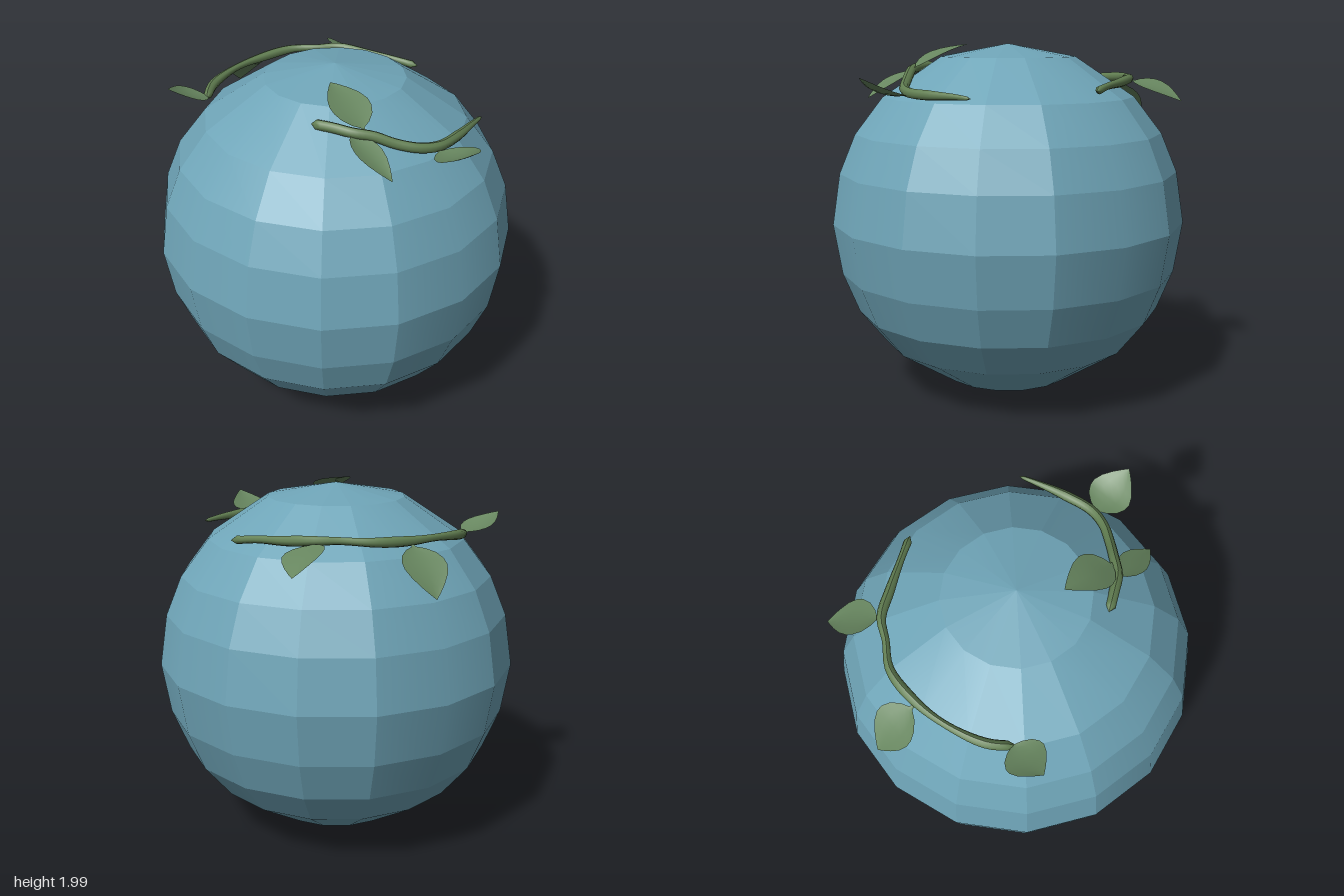
import * as THREE from 'three';

const blue = new THREE.MeshStandardMaterial({ color: 0x6fa5b8 });
blue.name = 'duskyBlue';
const leafGreen = new THREE.MeshStandardMaterial({ color: 0x67865f, side: THREE.DoubleSide });
leafGreen.name = 'leafGreen';
const stemGreen = new THREE.MeshStandardMaterial({ color: 0x627f52 });
stemGreen.name = 'stemGreen';

const V = (p) => new THREE.Vector3(...p);

// Faceted ball: rings of 16 sides, with the facets either side of each axis blended together
function makeBall() {
  const profile = [
    [0, 0.005], [0.37, 0.075], [0.71, 0.295], [0.865, 0.49], [0.955, 0.715], [1, 1],
    [0.955, 1.285], [0.865, 1.5], [0.71, 1.7], [0.38, 1.92], [0, 1.99],
  ].map(([x, y]) => new THREE.Vector2(x, y));
  const geo = new THREE.LatheGeometry(profile, 16).toNonIndexed();
  geo.computeVertexNormals();
  const pos = geo.attributes.position;
  const nor = geo.attributes.normal;
  const n = new THREE.Vector3();
  for (let i = 0; i < pos.count; i++) {
    n.fromBufferAttribute(nor, i);
    const x = Math.abs(pos.getX(i));
    const z = Math.abs(pos.getZ(i));
    if (x < 1e-4 && z > 0.1) n.x = 0;
    if (z < 1e-4 && x > 0.1) n.z = 0;
    n.normalize();
    nor.setXYZ(i, n.x, n.y, n.z);
  }
  const mesh = new THREE.Mesh(geo, blue);
  mesh.name = 'ball';
  return mesh;
}

// Vine stem: a tube whose rings are scaled along its length by radiusAt(t)
function makeStem(points, radiusAt) {
  const curve = new THREE.CatmullRomCurve3(points.map(V));
  const steps = 40;
  const sides = 8;
  const geo = new THREE.TubeGeometry(curve, steps, 1, sides, false);
  const pos = geo.attributes.position;
  const p = new THREE.Vector3();
  for (let i = 0; i <= steps; i++) {
    const c = curve.getPointAt(i / steps);
    const end = i === 0 || i === steps;
    const r = end ? 0.0005 : radiusAt(i / steps);
    for (let j = 0; j <= sides; j++) {
      const k = i * (sides + 1) + j;
      p.fromBufferAttribute(pos, k).sub(c).multiplyScalar(r).add(c);
      pos.setXYZ(k, p.x, p.y, p.z);
    }
  }
  geo.computeVertexNormals();
  const mesh = new THREE.Mesh(geo, stemGreen);
  mesh.name = 'stem';
  return mesh;
}

// Leaf: cross-sections from base to tip, cupped across and bent along its length
function makeLeaf({ base, tip, width, up = [0, 1, 0], arch = 0.01 }) {
  const a = V(base);
  const axis = V(tip).sub(a);
  const side = new THREE.Vector3().crossVectors(V(up), axis).normalize();
  const normal = new THREE.Vector3().crossVectors(axis, side).normalize();
  const outline = [
    [0, 0.05], [0.08, 0.1], [0.14, 0.45], [0.25, 0.8], [0.38, 0.98],
    [0.5, 1], [0.65, 0.84], [0.8, 0.54], [0.92, 0.24], [1, 0.01],
  ];
  const across = [-1, -0.5, 0, 0.5, 1];
  const verts = [];
  const index = [];
  outline.forEach(([t, w], i) => {
    across.forEach((s, j) => {
      const lift = arch * Math.sin(Math.PI * t) + 0.016 * w * (s * s - 0.4);
      const p = a.clone().addScaledVector(axis, t)
        .addScaledVector(side, s * w * width / 2)
        .addScaledVector(normal, lift);
      verts.push(p.x, p.y, p.z);
      if (i && j) {
        const d = i * across.length + j;
        const b = d - across.length;
        index.push(b - 1, b, d, b - 1, d, d - 1);
      }
    });
  });
  const geo = new THREE.BufferGeometry();
  geo.setAttribute('position', new THREE.Float32BufferAttribute(verts, 3));
  geo.setIndex(index);
  geo.computeVertexNormals();
  const mesh = new THREE.Mesh(geo, leafGreen);
  mesh.name = 'leaf';
  return mesh;
}

function makeVine(name, points, radiusAt, leaves) {
  const vine = new THREE.Group();
  vine.name = name;
  vine.add(makeStem(points, radiusAt), ...leaves.map(makeLeaf));
  return vine;
}

export function createModel() {
  const model = new THREE.Group();
  model.name = 'ballWithVines';
  model.add(makeBall());

  // Long vine around the back
  model.add(makeVine(
    'backVine',
    [[-0.47, 1.74, -0.53], [-0.36, 1.76, -0.62], [-0.16, 1.78, -0.685], [0.04, 1.785, -0.7],
      [0.24, 1.795, -0.665], [0.36, 1.8, -0.57], [0.46, 1.8, -0.5], [0.54, 1.785, -0.36],
      [0.62, 1.775, -0.2], [0.69, 1.755, -0.06]],
    (t) => 0.023 + 0.004 * Math.sin(t * 19),
    [
      { base: [0.03, 1.775, -0.71], tip: [0.07, 1.55, -0.97], width: 0.24, arch: 0.025 },
      { base: [0.46, 1.79, -0.5], tip: [0.7, 1.68, -0.67], width: 0.22, up: [0.2, 1, 0.1], arch: 0.02 },
      { base: [-0.44, 1.745, -0.54], tip: [-0.68, 1.845, -0.57], width: 0.22, arch: -0.01 },
    ],
  ));

  // Short vine on the front
  model.add(makeVine(
    'frontVine',
    [[-0.38, 1.86, 0.26], [-0.33, 1.86, 0.36], [-0.28, 1.85, 0.45], [-0.2, 1.83, 0.52],
      [-0.12, 1.79, 0.59], [-0.02, 1.76, 0.66], [0.09, 1.745, 0.69], [0.26, 1.74, 0.665],
      [0.39, 1.74, 0.63], [0.51, 1.735, 0.595]],
    (t) => 0.027 * (t > 0.75 ? 0.35 + 2.6 * (1 - t) : 1),
    [
      { base: [-0.23, 1.85, 0.49], tip: [-0.17, 1.985, 0.16], width: 0.22, arch: 0.02 },
      { base: [-0.29, 1.85, 0.43], tip: [-0.28, 1.7, 0.74], width: 0.15, arch: 0.01 },
      { base: [0.07, 1.73, 0.69], tip: [0.07, 1.83, 0.97], width: 0.24, arch: -0.03 },
    ],
  ));
  return model;
}
